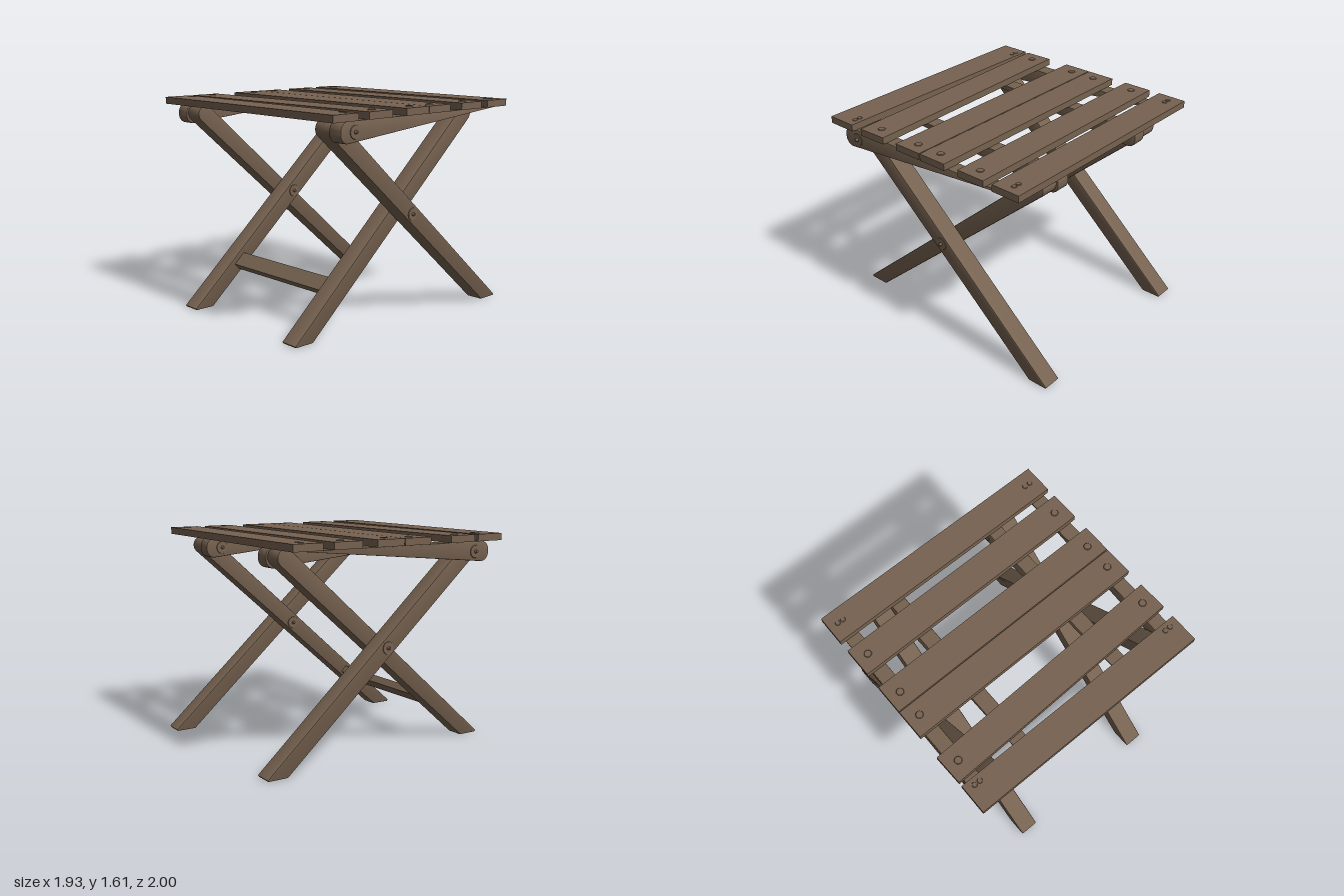
import * as THREE from 'three';
import { toCreasedNormals } from 'three/addons/utils/BufferGeometryUtils.js';

export function createModel() {
  const model = new THREE.Group();
  model.name = 'foldingTable';
  const wood = new THREE.MeshStandardMaterial({ color: 0x766250 });
  wood.name = 'brown wood';

  const add = (parent, name, geometry, x = 0, y = 0, z = 0) => {
    const mesh = new THREE.Mesh(geometry, wood);
    mesh.name = name;
    mesh.position.set(x, y, z);
    parent.add(mesh);
    return mesh;
  };

  // Side profile (z, y) extruded across x with softened edges, centred on x = 0
  const plank = (shape, width, flip) => {
    const bevel = 0.008;
    const g = new THREE.ExtrudeGeometry(shape, {
      depth: width - 2 * bevel, bevelThickness: bevel, bevelSize: bevel,
      bevelOffset: -bevel, bevelSegments: 2, curveSegments: 10,
    });
    g.translate(0, 0, bevel - width / 2);
    g.rotateY(-Math.PI / 2);
    if (flip) g.rotateY(Math.PI);
    return toCreasedNormals(g, 0.6);
  };

  // Sloping leg: flat foot at the back, rounded end at the top front
  const slope = Math.atan(0.89);
  const legShape = new THREE.Shape();
  legShape.moveTo(-0.99, 0);
  legShape.lineTo(-0.84, 0);
  legShape.absarc(0.755, 1.487, 0.066, slope - Math.PI / 2, slope + Math.PI / 2, false);
  legShape.lineTo(-1.0, 0.012);
  legShape.closePath();

  // Seat rail: square at the back, rounded around the pivot at the front
  const railShape = new THREE.Shape();
  railShape.moveTo(-0.82, 1.405);
  railShape.absarc(0.765, 1.47, 0.065, -Math.PI / 2, 0, false);
  railShape.absarc(0.765, 1.49, 0.065, 0, Math.PI / 2, false);
  railShape.lineTo(-0.82, 1.555);
  railShape.closePath();

  // Pivot bolt: thin washer with a small nut, facing along x
  const bolt = (x, y, z, dir) => {
    const group = new THREE.Group();
    group.name = 'pivotBolt';
    group.position.set(x, y, z);
    group.rotation.z = -dir * Math.PI / 2;
    add(group, 'washer', new THREE.CylinderGeometry(0.046, 0.048, 0.005, 24), 0, 0.002, 0);
    add(group, 'nut', new THREE.CylinderGeometry(0.009, 0.015, 0.022, 12), 0, 0.012, 0);
    model.add(group);
  };

  for (const side of [-1, 1]) {
    add(model, 'outerLeg', plank(legShape, 0.145, false), side * 0.732);
    add(model, 'innerLeg', plank(legShape, 0.145, true), side * 0.583);
    add(model, 'outerRail', plank(railShape, 0.112, false), side * 0.864);
    add(model, 'innerRail', plank(railShape, 0.114, true), side * 0.452);
    bolt(side * 0.92, 1.48, 0.7, side);
    bolt(side * 0.395, 1.48, -0.7, -side);
    bolt(side * 0.8045, 0.815, 0, side);
    bolt(side * 0.5105, 0.815, 0, -side);
  }

  // Stretcher between the inner legs, tilted with them
  const stretcher = add(model, 'stretcher', new THREE.BoxGeometry(1.03, 0.06, 0.12), 0, 0.318, 0.556);
  stretcher.rotation.x = slope;

  // Top slats: [z, yaw, screws per end, screw z]
  const slats = [
    [-0.763, -0.008, 2, -0.775],
    [-0.455, -0.001, 1, -0.46],
    [-0.102, 0, 1, -0.095],
    [0.133, 0, 1, 0.12],
    [0.519, 0.026, 1, 0.515],
    [0.81, -0.008, 2, 0.745],
  ];
  for (const [z, yaw, count, screwZ] of slats) {
    const slat = new THREE.Group();
    slat.name = 'slat';
    slat.position.set(-0.002, 1.583, z);
    slat.rotation.y = yaw;
    add(slat, 'slatBoard', new THREE.BoxGeometry(1.92, 0.052, 0.228));
    const radius = count === 2 ? 0.02 : 0.029;
    const offsets = count === 2 ? [-0.022, 0.022] : [0];
    for (const side of [-1, 1]) {
      for (const dx of offsets) {
        const head = new THREE.CylinderGeometry(radius * 0.85, radius, 0.006, 20);
        add(slat, 'screwHead', head, side * 0.865 + dx, 0.028, screwZ - z);
      }
    }
    model.add(slat);
  }

  return model;
}
